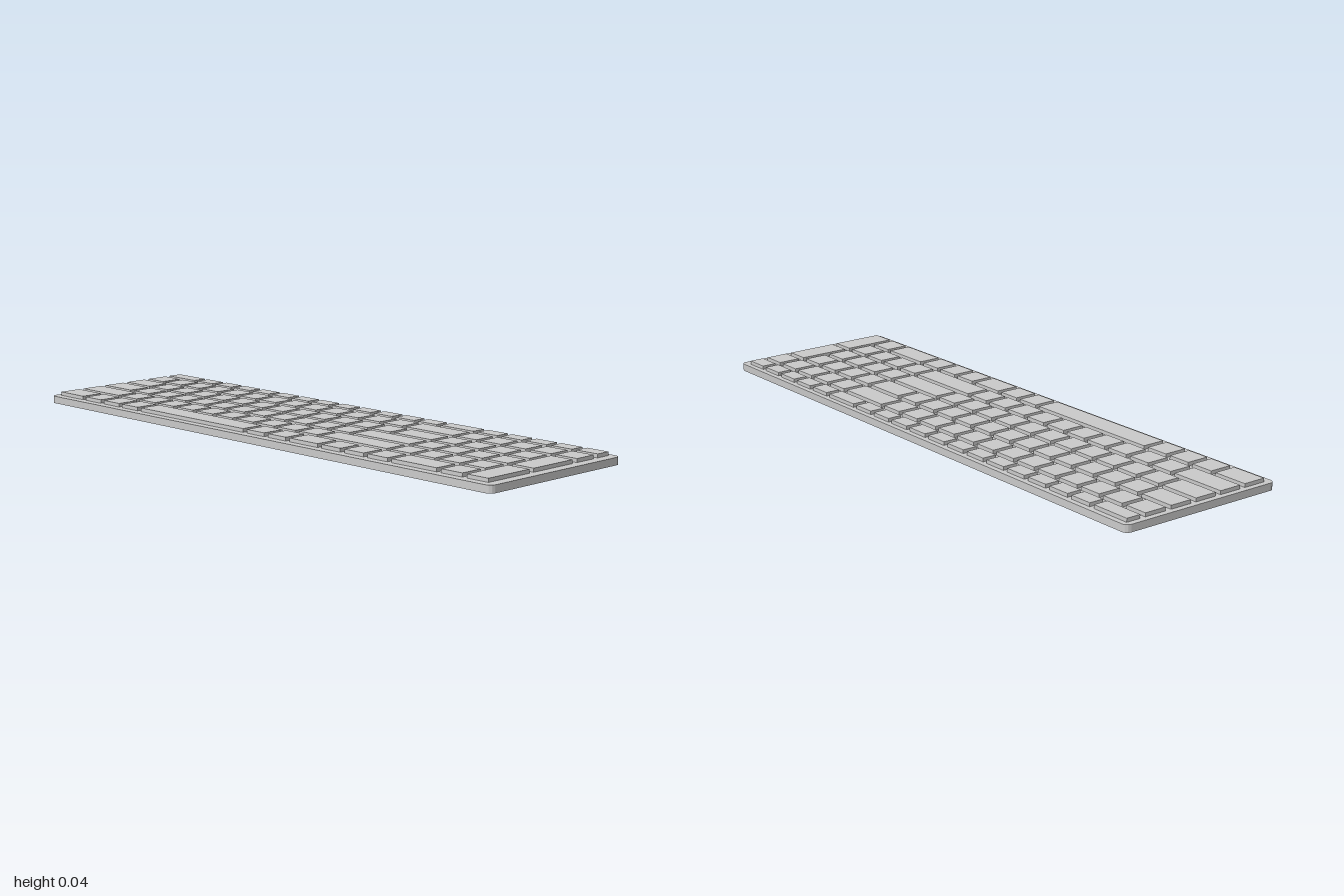
import * as THREE from 'three';
import { toCreasedNormals } from 'three/addons/utils/BufferGeometryUtils.js';

const UNIT = 0.0973;      // key pitch along a row
const GAP = 0.0175;       // space between neighbouring keys
const LEFT = -0.981;      // left edge of the first key
const BASE_H = 0.024;
const KEY_H = 0.012;

const ones = (n) => Array(n).fill(1);

// Back and front edge of each row of keys
const rowZ = [
  [-0.272, -0.222],
  [-0.203, -0.126],
  [-0.106, -0.029],
  [-0.010, 0.068],
  [0.087, 0.165],
  [0.184, 0.262],
];

// Key widths in units: main block (15.2 units), then number pad
const rows = [
  [1.6, ...ones(12), 1.6, ...ones(5)],
  [...ones(13), 2.2, ...ones(5)],
  [1.43, ...ones(12), 1.77, ...ones(4)],
  [1.6, ...ones(11), 2.6, ...ones(4)],
  [2.15, ...ones(10), 3.05, ...ones(4)],
  [1.43, 1, 1, 1, 5.34, 1, 1, 1.43, 1, 1, 1, 2, 1],
];

function createBase(w, d, r) {
  const x = w / 2, y = d / 2;
  const s = new THREE.Shape();
  s.moveTo(-x + r, -y);
  s.lineTo(x - r, -y);
  s.absarc(x - r, -y + r, r, -Math.PI / 2, 0);
  s.lineTo(x, y - r);
  s.absarc(x - r, y - r, r, 0, Math.PI / 2);
  s.lineTo(-x + r, y);
  s.absarc(-x + r, y - r, r, Math.PI / 2, Math.PI);
  s.lineTo(-x, -y + r);
  s.absarc(-x + r, -y + r, r, Math.PI, Math.PI * 1.5);
  const geo = new THREE.ExtrudeGeometry(s, { depth: BASE_H, bevelEnabled: false, curveSegments: 8 });
  geo.rotateX(-Math.PI / 2);
  return toCreasedNormals(geo, Math.PI / 6);
}

export function createModel() {
  const model = new THREE.Group();
  model.name = 'keyboard';
  const material = new THREE.MeshStandardMaterial({ color: 0xcccccc });

  // Flat slab with rounded corners
  const base = new THREE.Mesh(createBase(2, 0.58, 0.02), material);
  base.name = 'base';
  model.add(base);

  const addKey = (parent, name, units, start, z0, z1) => {
    const w = units * UNIT - GAP;
    const key = new THREE.Mesh(new THREE.BoxGeometry(w, KEY_H, z1 - z0), material);
    key.position.set(LEFT + start * UNIT + w / 2, BASE_H + KEY_H / 2, (z0 + z1) / 2);
    key.name = name;
    parent.add(key);
  };

  // Rows of keys, back to front
  rows.forEach((widths, r) => {
    const row = new THREE.Group();
    row.name = `keyRow${r + 1}`;
    let start = 0;
    widths.forEach((units, i) => {
      addKey(row, units > 5 ? 'spaceBar' : `key${i + 1}`, units, start, ...rowZ[r]);
      start += units;
    });
    model.add(row);
  });

  // Two double-height keys at the right end of the number pad
  for (const r of [2, 4]) {
    addKey(model, r === 2 ? 'tallKeyBack' : 'tallKeyFront', 1, 19.2, rowZ[r][0], rowZ[r + 1][1]);
  }
  return model;
}
